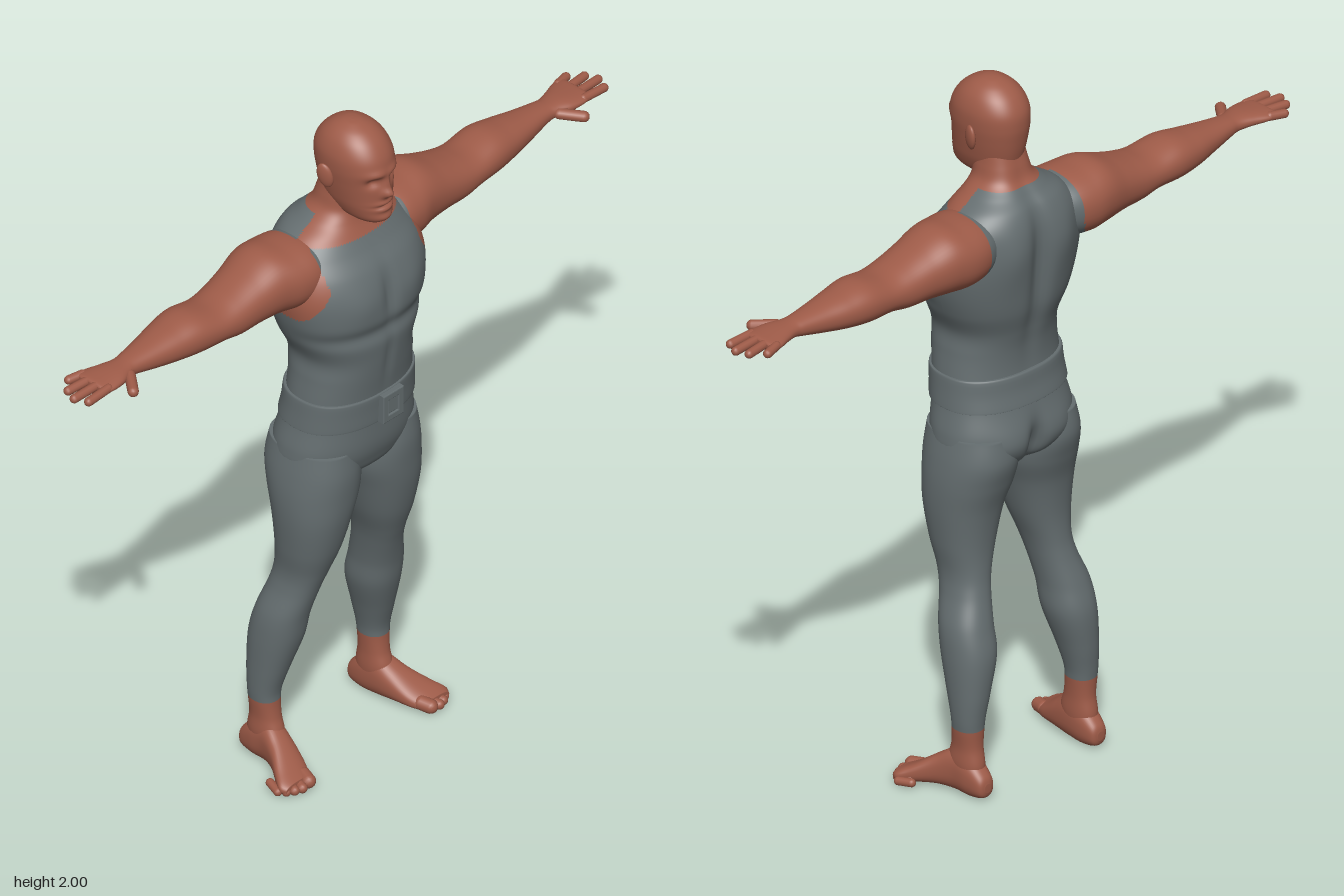
import * as THREE from 'three';

const skin = new THREE.MeshStandardMaterial({ color: 0x9e5b48 });
skin.name = 'skin';
const suit = new THREE.MeshStandardMaterial({ color: 0x646d6f });
suit.name = 'suit grey';

const bell = (d, w) => Math.exp(-(d * d) / (w * w));

// Catmull-Rom value of one column of the section table
function blend(rows, col, t) {
  const last = rows.length - 1;
  const i = Math.min(Math.floor(t), last - 1), f = t - i;
  const [a, b, c, d] = [i - 1, i, i + 1, i + 2].map((k) => rows[Math.min(Math.max(k, 0), last)][col]);
  return 0.5 * (2 * b + (c - a) * f + (2 * a - 5 * b + 4 * c - d) * f * f + (3 * b - a - 3 * c + d) * f * f * f);
}

// Smooth skin through oval sections [position, u0, u1, v0, v1] along an axis.
// Axis x: u = y, v = z. Axis y: u = z, v = x. Axis z: u = x, v = y.
function loft(name, axis, rows, { power = 2.2, steps = 8, sides = 48, side = 1, shape, isSuit = () => false } = {}) {
  const a = 'xyz'.indexOf(axis), u = (a + 1) % 3, v = (a + 2) % 3;
  const rings = (rows.length - 1) * steps + 1;
  const pos = [], lists = [[], []];
  const add = (p) => {
    if (shape) shape(p);
    pos.push(p[0] * side, p[1], p[2]);
  };
  const bend = (c) => Math.sign(c) * Math.abs(c) ** (2 / power);
  for (let i = 0; i < rings; i++) {
    const [s, u0, u1, v0, v1] = [0, 1, 2, 3, 4].map((k) => blend(rows, k, i / steps));
    for (let j = 0; j < sides; j++) {
      const angle = (j / sides) * Math.PI * 2, p = [0, 0, 0];
      p[a] = s;
      p[u] = (u0 + u1) / 2 + ((u1 - u0) / 2) * bend(Math.cos(angle));
      p[v] = (v0 + v1) / 2 + ((v1 - v0) / 2) * bend(Math.sin(angle));
      add(p);
    }
  }
  for (const r of [rows[0], rows[rows.length - 1]]) {
    const p = [0, 0, 0];
    p[a] = r[0]; p[u] = (r[1] + r[2]) / 2; p[v] = (r[3] + r[4]) / 2;
    add(p);
  }
  const tri = (...ids) => {
    const mid = [0, 1, 2].map((k) => ids.reduce((sum, id) => sum + pos[id * 3 + k], 0) / 3);
    lists[isSuit(Math.abs(mid[0]), mid[1], mid[2]) ? 1 : 0].push(...(side > 0 ? ids : ids.reverse()));
  };
  const end = (rings - 1) * sides;
  for (let j = 0; j < sides; j++) {
    const k = (j + 1) % sides;
    for (let i = 0; i < end; i += sides) {
      tri(i + j, i + k, i + sides + k);
      tri(i + j, i + sides + k, i + sides + j);
    }
    tri(rings * sides, k, j);
    tri(rings * sides + 1, end + j, end + k);
  }
  const g = new THREE.BufferGeometry();
  g.setAttribute('position', new THREE.Float32BufferAttribute(pos, 3));
  g.setIndex([...lists[0], ...lists[1]]);
  g.addGroup(0, lists[0].length, 0);
  g.addGroup(lists[0].length, lists[1].length, 1);
  g.computeVertexNormals();
  const mesh = new THREE.Mesh(g, [skin, suit]);
  mesh.name = name;
  return mesh;
}

// Rounded digit between two points
function digit(name, from, to, radius, side) {
  const p = new THREE.Vector3(...from), q = new THREE.Vector3(...to);
  p.x *= side; q.x *= side;
  const dir = q.clone().sub(p);
  const mesh = new THREE.Mesh(new THREE.CapsuleGeometry(radius, dir.length() - radius, 6, 12), skin);
  mesh.position.copy(p).add(q).multiplyScalar(0.5);
  mesh.quaternion.setFromUnitVectors(new THREE.Vector3(0, 1, 0), dir.normalize());
  mesh.name = name;
  return mesh;
}

// Sleeveless top: armholes at the sides, neckline low in front and high behind
const inTop = (x, y, z) =>
  y < 1.47 || (x < 0.168 + Math.max(0, 1.56 - y) * 0.6 && y < (z < -0.02 ? 1.715 : 1.66));

// Chest, back and seat modelling
function shapeTorso(p) {
  const [x, y, z] = p, ax = Math.abs(x);
  if (z < 0) {
    p[2] += 0.022 * bell(x, 0.03) * bell(y - 1.5, 0.2) + 0.03 * bell(x, 0.025) * bell(y - 0.97, 0.06);
    p[2] -= 0.01 * bell(ax - 0.09, 0.05) * bell(y - 1.56, 0.08) + 0.008 * bell(ax - 0.09, 0.06) * bell(y - 0.99, 0.06);
  } else {
    p[2] += 0.008 * bell(ax - 0.09, 0.06) * bell(y - 1.5, 0.06);
    p[2] -= 0.012 * bell(x, 0.02) * bell(y - 1.5, 0.07) + 0.01 * bell(y - 1.4, 0.025) + 0.006 * bell(x, 0.015) * bell(y - 1.3, 0.08);
  }
}

// Brow, eye sockets, nose, mouth and chin
function shapeFace(p) {
  const [x, y, z] = p, ax = Math.abs(x);
  if (z < 0.04) return;
  p[2] += 0.007 * bell(y - 1.882, 0.012) * bell(ax - 0.03, 0.03);
  p[2] -= 0.015 * bell(ax - 0.034, 0.018) * bell(y - 1.858, 0.015);
  p[2] += 0.022 * bell(x, 0.015) * bell(y - 1.82, 0.014) + 0.012 * bell(x, 0.01) * bell(y - 1.845, 0.022);
  p[2] += 0.006 * bell(x, 0.03) * (bell(y - 1.789, 0.007) + bell(y - 1.769, 0.007) + bell(y - 1.742, 0.012));
  p[2] -= 0.006 * bell(x, 0.03) * bell(y - 1.779, 0.004);
}

// Frame with an optional hole, for the buckle
function plate(w, h, depth, hole) {
  const rect = (T, a, b) => new T([[-a, -b], [a, -b], [a, b], [-a, b]].map((c) => new THREE.Vector2(...c)));
  const s = rect(THREE.Shape, w / 2, h / 2);
  if (hole) s.holes.push(rect(THREE.Path, w / 2 - hole, h / 2 - hole));
  return new THREE.ExtrudeGeometry(s, { depth, bevelThickness: 0.003, bevelSize: 0.003, bevelSegments: 2 });
}

export function createModel() {
  const model = new THREE.Group();
  model.name = 'standing man';

  // Torso and neck: [y, back, front, half width]
  const torso = [
    [0.90, -0.08, 0.05, 0.05], [0.93, -0.125, 0.10, 0.15], [0.97, -0.146, 0.12, 0.203],
    [1.02, -0.148, 0.132, 0.207], [1.10, -0.13, 0.136, 0.19], [1.18, -0.117, 0.142, 0.183],
    [1.25, -0.118, 0.152, 0.174], [1.31, -0.13, 0.16, 0.17], [1.38, -0.15, 0.167, 0.2],
    [1.45, -0.16, 0.168, 0.222], [1.52, -0.165, 0.16, 0.232], [1.58, -0.165, 0.14, 0.222],
    [1.63, -0.158, 0.105, 0.2], [1.67, -0.142, 0.08, 0.162], [1.70, -0.115, 0.066, 0.115],
    [1.73, -0.09, 0.06, 0.08], [1.77, -0.076, 0.06, 0.068], [1.82, -0.06, 0.05, 0.06],
  ].map(([y, b, f, w]) => [y, b, f, -w, w]);
  model.add(loft('torso', 'y', torso, { power: 2.3, sides: 128, steps: 9, shape: shapeTorso, isSuit: inTop }));

  // Head
  const head = [
    [1.715, 0.0, 0.115, 0.03], [1.725, -0.02, 0.137, 0.043], [1.74, -0.04, 0.147, 0.055],
    [1.77, -0.062, 0.148, 0.067], [1.80, -0.072, 0.146, 0.074], [1.84, -0.08, 0.146, 0.081],
    [1.88, -0.085, 0.148, 0.086], [1.92, -0.082, 0.14, 0.085], [1.955, -0.063, 0.118, 0.073],
    [1.98, -0.035, 0.088, 0.052], [1.994, -0.005, 0.055, 0.026], [1.998, 0.018, 0.032, 0.006],
  ].map(([y, b, f, w]) => [y, b, f, -w, w]);
  model.add(loft('head', 'y', head, { sides: 80, shape: shapeFace }));

  // Belt and buckle
  const belt = [[1.095, -0.139, 0.142, -0.197, 0.197], [1.1, -0.139, 0.144, -0.197, 0.197],
    [1.14, -0.13, 0.146, -0.193, 0.193], [1.18, -0.126, 0.149, -0.19, 0.19], [1.185, -0.12, 0.146, -0.187, 0.187]];
  model.add(loft('belt', 'y', belt, { power: 2.3, steps: 3, sides: 80, isSuit: () => true }));
  [['buckle frame', 0.07, 0.08, 0.018, 0.014], ['buckle plate', 0.03, 0.04, 0.014, 0]].forEach(([name, w, h, d, hole]) => {
    const mesh = new THREE.Mesh(plate(w, h, d, hole), suit);
    mesh.position.set(0.01, 1.14, 0.143);
    mesh.name = name;
    model.add(mesh);
  });

  for (const side of [1, -1]) {
    const tag = side > 0 ? 'left ' : 'right ';

    // Ear
    const ear = new THREE.Mesh(new THREE.SphereGeometry(1, 20, 14), skin);
    ear.scale.set(0.011, 0.038, 0.023);
    ear.position.set(0.09 * side, 1.853, 0.012);
    ear.rotation.set(-0.2, -0.3 * side, -0.15 * side);
    ear.name = tag + 'ear';
    model.add(ear);

    // Arm with palm: [x, bottom, top, back, front]
    model.add(loft(tag + 'arm', 'x', [
      [0.10, 1.53, 1.655, -0.12, 0.05], [0.16, 1.50, 1.672, -0.147, 0.075], [0.22, 1.492, 1.676, -0.156, 0.074],
      [0.28, 1.497, 1.678, -0.15, 0.06], [0.35, 1.502, 1.652, -0.135, 0.05], [0.42, 1.503, 1.63, -0.125, 0.045],
      [0.48, 1.514, 1.62, -0.12, 0.04], [0.56, 1.515, 1.631, -0.122, 0.034], [0.63, 1.523, 1.622, -0.112, 0.022],
      [0.70, 1.535, 1.612, -0.095, 0.008], [0.77, 1.55, 1.604, -0.08, -0.005], [0.80, 1.556, 1.601, -0.077, -0.003],
      [0.84, 1.56, 1.6, -0.088, 0.01], [0.88, 1.564, 1.597, -0.102, 0.014], [0.905, 1.57, 1.594, -0.103, 0.01],
      [0.912, 1.577, 1.588, -0.095, 0.0],
    ], { side, isSuit: (x, y, z) => x < 0.22 && y > 1.45 && inTop(x, y, z) }));

    // Fingers and thumb
    [[-0.09, -0.104, 0.944], [-0.061, -0.071, 0.98], [-0.03, -0.035, 0.994], [0.0, 0.002, 0.978]].forEach(([z0, z1, tip], i) =>
      model.add(digit(tag + 'finger ' + (i + 1), [0.885, 1.582, z0], [tip - 0.006, 1.578, z1], 0.0125, side)));
    model.add(digit(tag + 'thumb', [0.80, 1.577, -0.01], [0.85, 1.57, 0.052], 0.015, side));

    // Leg: [y, back, front, inner, outer]
    model.add(loft(tag + 'leg', 'y', [
      [0.04, -0.145, -0.05, 0.172, 0.233], [0.09, -0.148, -0.035, 0.167, 0.24], [0.14, -0.14, -0.048, 0.168, 0.238],
      [0.19, -0.141, -0.053, 0.165, 0.243], [0.23, -0.144, -0.05, 0.16, 0.246], [0.30, -0.15, -0.03, 0.142, 0.248],
      [0.40, -0.151, 0.0, 0.113, 0.248], [0.48, -0.132, 0.016, 0.108, 0.24], [0.56, -0.108, 0.037, 0.096, 0.214],
      [0.62, -0.097, 0.057, 0.082, 0.206], [0.70, -0.095, 0.085, 0.055, 0.216], [0.80, -0.107, 0.108, 0.028, 0.226],
      [0.88, -0.13, 0.118, 0.004, 0.227], [0.95, -0.146, 0.122, 0.004, 0.219], [1.02, -0.135, 0.115, 0.02, 0.204],
    ], { side, isSuit: (x, y) => y > 0.195 }));

    // Foot: [z, inner, outer, bottom, top]
    model.add(loft(tag + 'foot', 'z', [
      [-0.172, 0.193, 0.214, 0.025, 0.05], [-0.162, 0.177, 0.23, 0.008, 0.072], [-0.12, 0.168, 0.24, 0, 0.11],
      [-0.07, 0.168, 0.245, 0.002, 0.125], [-0.02, 0.175, 0.263, 0.004, 0.097], [0.03, 0.188, 0.295, 0.002, 0.062],
      [0.06, 0.202, 0.312, 0, 0.044], [0.08, 0.215, 0.305, 0.004, 0.034],
    ], { side, power: 2.4, sides: 40 }));

    // Toes
    [[0.232, 0.105, 0.02], [0.259, 0.104, 0.0145], [0.28, 0.096, 0.0135], [0.298, 0.083, 0.0125], [0.312, 0.065, 0.012]].forEach(([x, z, r], i) =>
      model.add(digit(tag + 'toe ' + (i + 1), [x - 0.014, r + 0.006, z - 0.055], [x, r, z - r / 2], r, side)));
  }
  return model;
}
